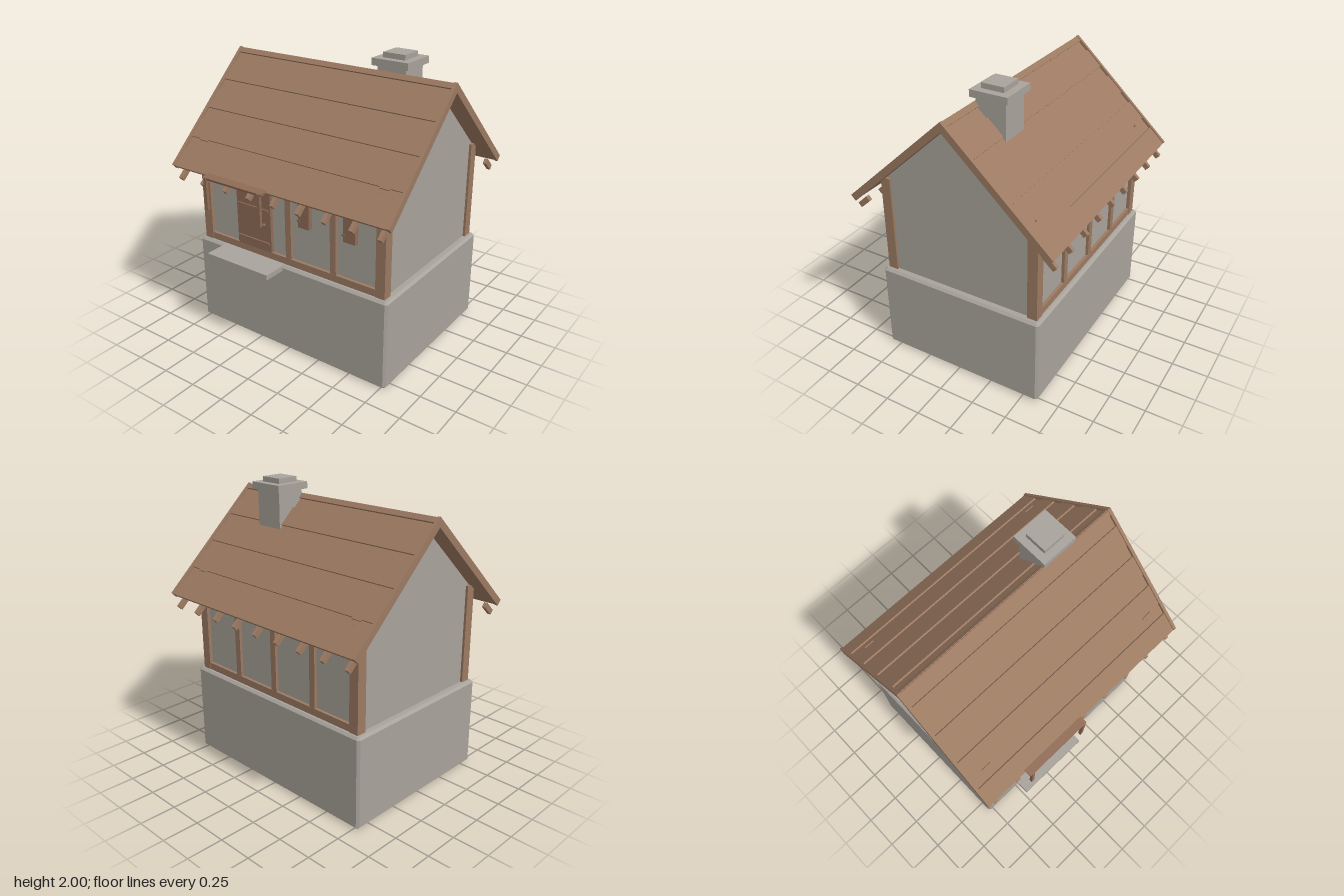
import * as THREE from 'three';

const CZ = -0.013; // centre line of the house in z

export function createModel() {
  const stone = new THREE.MeshStandardMaterial({ name: 'stone', color: 0xa8a39b });
  const wood = new THREE.MeshStandardMaterial({ name: 'wood', color: 0x9c7a62 });
  const darkWood = new THREE.MeshStandardMaterial({ name: 'dark wood', color: 0x8e6b55 });
  const model = new THREE.Group();
  model.name = 'cottage';

  const add = (parent, name, geometry, material) => {
    const mesh = new THREE.Mesh(geometry, material);
    mesh.name = name;
    parent.add(mesh);
    return mesh;
  };
  // Box given by its minimum and maximum on each axis
  const box = (parent, name, material, [x0, x1], [y0, y1], [z0, z1]) => {
    const mesh = add(parent, name, new THREE.BoxGeometry(x1 - x0, y1 - y0, z1 - z0), material);
    mesh.position.set((x0 + x1) / 2, (y0 + y1) / 2, (z0 + z1) / 2);
    return mesh;
  };
  const polygon = (points) => new THREE.Shape(points.map(([x, y]) => new THREE.Vector2(x, y)));

  // Foundation block with chamfered edges
  const w = 0.785, d = 0.597, b = 0.016;
  const outline = polygon([[-w + b, -d], [w - b, -d], [w, -d + b], [w, d - b],
    [w - b, d], [-w + b, d], [-w, d - b], [-w, -d + b]]);
  const baseGeometry = new THREE.ExtrudeGeometry(outline, {
    depth: 0.64 - 2 * b, bevelThickness: b, bevelSize: b, bevelOffset: -b, bevelSegments: 1,
  });
  baseGeometry.rotateX(-Math.PI / 2);
  add(model, 'foundation', baseGeometry, stone).position.set(0, b, CZ);

  // Plastered body with gable ends
  const body = polygon([[-0.545, 0.63], [0.545, 0.63], [0.545, 1.34], [0, 1.845], [-0.545, 1.34]]);
  const bodyGeometry = new THREE.ExtrudeGeometry(body, { depth: 1.47, bevelEnabled: false });
  bodyGeometry.translate(0, 0, -0.735).rotateY(-Math.PI / 2);
  add(model, 'walls', bodyGeometry, stone).position.z = CZ;

  // Timber frame and roof slope, once for the front and once for the back
  const pitch = 0.75, slopeLength = 0.995;
  for (const side of ['front', 'back']) {
    const turn = side === 'front' ? 0 : Math.PI;

    const frame = new THREE.Group();
    frame.name = side + 'Frame';
    frame.position.z = CZ;
    frame.rotation.y = turn;
    model.add(frame);
    for (const s of [-1, 1]) {
      const xs = [s * 0.682, s * 0.752].sort((p, q) => p - q);
      box(frame, 'cornerPost', wood, xs, [0.64, 1.335], [0.5, 0.57]);
    }
    for (const x of [-0.36, 0, 0.36]) {
      box(frame, 'stud', wood, [x - 0.023, x + 0.023], [0.64, 1.31], [0.52, 0.565]);
    }
    box(frame, 'sill', wood, [-0.69, 0.69], [0.64, 0.69], [0.52, 0.566]);
    box(frame, 'wallPlate', wood, [-0.69, 0.69], [1.27, 1.325], [0.52, 0.566]);

    // Local +z runs down the slope, y = 0 is the outer surface
    const slope = new THREE.Group();
    slope.name = side + 'Roof';
    slope.position.set(0, 1.89, CZ);
    slope.rotation.set(pitch, turn, 0, 'YXZ');
    model.add(slope);
    box(slope, 'roofDeck', wood, [-0.845, 0.845], [-0.042, -0.018], [0, slopeLength - 0.004]);
    for (let i = 0; i < 4; i++) {
      const end = slopeLength - i * 0.24;
      box(slope, 'roofBoard', wood, [-0.845, 0.845], [-0.019, -0.006], [end - 0.15, end]);
    }
    box(slope, 'ridgeBoard', wood, [-0.845, 0.845], [-0.019, -0.006], [0, 0.04]);
    for (const s of [-1, 1]) {
      box(slope, 'bargeBoard', wood, [s * 0.855 - 0.011, s * 0.855 + 0.011],
        [-0.045, 0.002], [0, slopeLength]);
      box(slope, 'roofPeg', wood, [s * 0.722 - 0.035, s * 0.722 + 0.035],
        [-0.01, 0.001], [0.755, 0.768]);
    }
    for (let i = -4; i <= 4; i++) {
      box(slope, 'rafterTail', wood, [i * 0.2 - 0.013, i * 0.2 + 0.013],
        [-0.099, -0.062], [0.95, 1.05]);
    }
  }

  // Front door with cross battens and a knob
  box(model, 'door', darkWood, [-0.435, -0.143], [0.69, 1.25], [0.52, 0.556]);
  for (const y of [0.75, 0.99]) {
    box(model, 'doorBatten', darkWood, [-0.425, -0.155], [y - 0.008, y + 0.008], [0.55, 0.566]);
  }
  const knob = add(model, 'doorKnob', new THREE.SphereGeometry(0.012, 12, 8), darkWood);
  knob.position.set(-0.195, 0.885, 0.564);
  box(model, 'doorStep', stone, [-0.555, -0.028], [0.605, 0.641], [0.55, 0.745]);

  // Small canopy over the door with two hanging brackets
  const canopy = box(model, 'doorCanopy', darkWood, [-0.545, -0.04], [1.213, 1.228], [0.555, 0.755]);
  canopy.rotation.x = 0.2;
  for (const x of [-0.52, -0.063]) {
    box(model, 'canopyBracket', darkWood, [x - 0.011, x + 0.011], [0.98, 1.208], [0.738, 0.758]);
  }

  // Hanging shutters
  for (const [x0, x1] of [[0.097, 0.182], [0.447, 0.537]]) {
    box(model, 'shutter', darkWood, [x0, x1], [0.952, 1.24], [0.53, 0.565]);
    for (const y of [1.0, 1.16]) {
      box(model, 'shutterHinge', darkWood, [x0 - 0.006, x0 + 0.012], [y - 0.008, y + 0.008], [0.55, 0.57]);
    }
  }

  // Chimney behind the ridge
  box(model, 'chimneyShaft', stone, [0.297, 0.508], [1.55, 1.925], [-0.225, -0.018]);
  box(model, 'chimneyCap', stone, [0.27, 0.535], [1.918, 1.965], [-0.252, 0.009]);
  box(model, 'chimneyTop', stone, [0.322, 0.484], [1.96, 2.0], [-0.2, -0.042]);

  return model;
}
